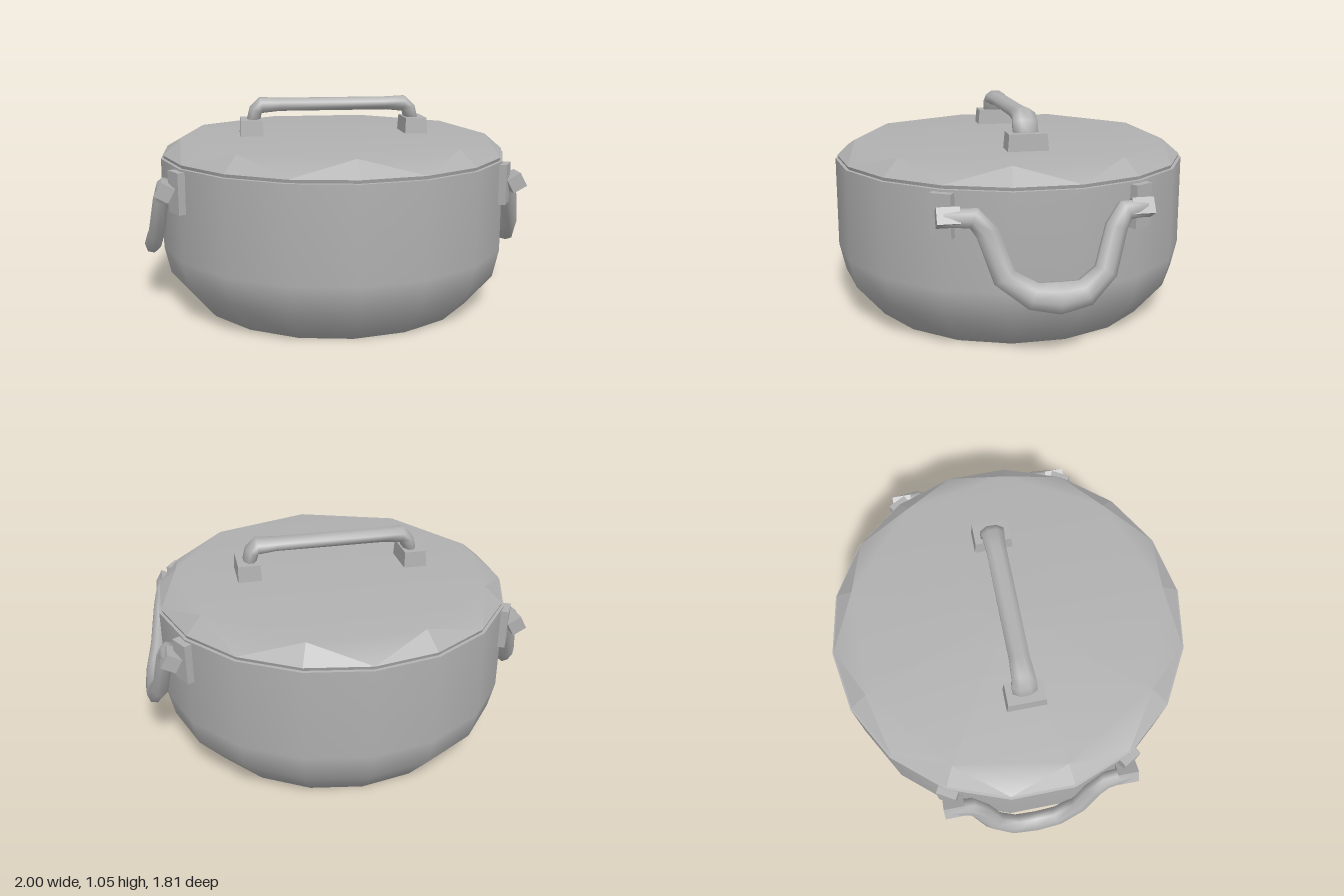
import * as THREE from 'three';
import { mergeVertices } from 'three/addons/utils/BufferGeometryUtils.js';

const V = (x, y, z) => new THREE.Vector3(x, y, z);
const metal = new THREE.MeshStandardMaterial({ color: 0xb0b0b0 });
metal.name = 'grey metal';

function add(parent, name, geometry) {
  const mesh = new THREE.Mesh(geometry, metal);
  mesh.name = name;
  parent.add(mesh);
  return mesh;
}

function triangles(list, smooth) {
  let g = new THREE.BufferGeometry().setFromPoints(list);
  if (smooth) g = mergeVertices(g);
  g.computeVertexNormals();
  return g;
}

// Elliptical bar along a path; rows are [x, y, z, half size along normal, half size across]
function bar(rows, normal, sides = 8) {
  const pts = rows.map(r => V(r[0], r[1], r[2]));
  const rings = rows.map((r, k) => {
    const t = pts[Math.min(k + 1, pts.length - 1)].clone().sub(pts[Math.max(k - 1, 0)]).normalize();
    const n = normal.clone().addScaledVector(t, -normal.dot(t)).normalize();
    const b = t.clone().cross(n);
    return Array.from({ length: sides }, (_, j) => {
      const a = (j + 0.5) / sides * Math.PI * 2;
      return pts[k].clone().addScaledVector(n, Math.cos(a) * r[3]).addScaledVector(b, Math.sin(a) * r[4]);
    });
  });
  const tri = [];
  const last = rings.length - 1;
  for (let j = 0; j < sides; j++) {
    const i = (j + 1) % sides;
    for (let k = 0; k < last; k++) {
      const [a, b, c, d] = [rings[k][j], rings[k][i], rings[k + 1][i], rings[k + 1][j]];
      tri.push(a, b, d, b, c, d);
    }
    tri.push(pts[0], rings[0][i], rings[0][j], pts[last], rings[last][j], rings[last][i]);
  }
  return triangles(tri, true);
}

// Box whose upper face is drawn in
function taperedBox(w, h, d, k) {
  const g = new THREE.BoxGeometry(w, h, d);
  const p = g.attributes.position;
  for (let i = 0; i < p.count; i++) {
    if (p.getY(i) > 0) p.setXYZ(i, p.getX(i) * k, p.getY(i), p.getZ(i) * k);
  }
  g.computeVertexNormals();
  return g;
}

const lathe = rows => new THREE.LatheGeometry(rows.map(r => new THREE.Vector2(r[0], r[1])), 18);

export function createModel() {
  const pot = new THREE.Group();
  pot.name = 'lidded pot';

  // Pot body
  add(pot, 'body', lathe([[0, 0], [0.735, 0], [0.875, 0.17], [0.905, 0.31], [0.9, 0.765]]));
  add(pot, 'bodyRim', lathe([[0.9, 0.765], [0.86, 0.768]]));

  // Lid: smooth top reaching the rim between nine steep notches
  const lid = new THREE.Group();
  lid.name = 'lid';
  pot.add(lid);
  const polar = (deg, r, y) => {
    const a = deg * Math.PI / 180;
    return V(Math.sin(a) * r, y, Math.cos(a) * r);
  };
  const top = [], notches = [];
  const centre = V(0, 0.86, 0);
  for (let k = 0; k < 9; k++) {
    const a = k * 40;
    const t0 = polar(a, 0.8, 0.858), t1 = polar(a + 40, 0.8, 0.858);
    const [r0, r1, r2] = [-20, 0, 20].map(d => polar(a + d, 0.89, 0.782));
    top.push(centre, t0, t1, t0, r2, t1);
    notches.push(t0, r0, r1, t0, r1, r2);
  }
  add(lid, 'lidTop', triangles(top, true));
  add(lid, 'lidNotches', triangles(notches, false));
  add(lid, 'lidEdge', lathe([[0.885, 0.765], [0.89, 0.782]]));

  // Lid handle
  const lidHandle = new THREE.Group();
  lidHandle.name = 'lidHandle';
  lid.add(lidHandle);
  for (const s of [-1, 1]) {
    add(lidHandle, 'lidHandleFoot', taperedBox(0.12, 0.09, 0.2, 0.92)).position.set(s * 0.43, 0.895, 0);
  }
  const half = [[0.425, 0.91, 0.065, 0.035], [0.405, 0.985, 0.065, 0.036],
    [0.375, 1.01, 0.06, 0.043], [0.28, 1.012, 0.053, 0.035]];
  const row = s => ([x, y, a, b]) => [s * x, y, 0, a, b];
  add(lidHandle, 'lidHandleBar',
    bar([...half.map(row(-1)), ...half.slice().reverse().map(row(1))], V(0, 0, 1)));

  // Side handles hanging between two brackets
  for (const s of [-1, 1]) {
    const handle = new THREE.Group();
    handle.name = s > 0 ? 'leftHandle' : 'rightHandle';
    pot.add(handle);
    for (const e of [-1, 1]) {
      const bracket = add(handle, 'bracket', new THREE.BoxGeometry(0.1, 0.2, 0.07));
      bracket.position.set(s * 0.78, 0.655, e * 0.44);
      bracket.rotation.y = Math.atan2(s * 0.78, e * 0.45);
      const knob = add(handle, 'knob', new THREE.BoxGeometry(0.075, 0.075, 0.1));
      knob.position.set(s * 0.85, 0.66, e * 0.43);
      knob.rotation.z = s * 0.5;
    }
    const path = [
      [0.855, 0.66, 0.45, 0.035, 0.04], [0.865, 0.655, 0.32, 0.04, 0.05],
      [0.885, 0.59, 0.265, 0.04, 0.052], [0.92, 0.4, 0.2, 0.042, 0.055],
      [0.95, 0.32, 0.08, 0.045, 0.065], [0.955, 0.305, -0.035, 0.045, 0.075],
      [0.95, 0.32, -0.15, 0.045, 0.065], [0.92, 0.4, -0.25, 0.042, 0.055],
      [0.885, 0.59, -0.305, 0.04, 0.052], [0.865, 0.655, -0.35, 0.04, 0.05],
      [0.855, 0.66, -0.45, 0.035, 0.04],
    ];
    add(handle, 'handleBar', bar(path.map(p => [s * p[0], ...p.slice(1)]), V(s * 0.97, 0.25, 0)));
  }
  return pot;
}
